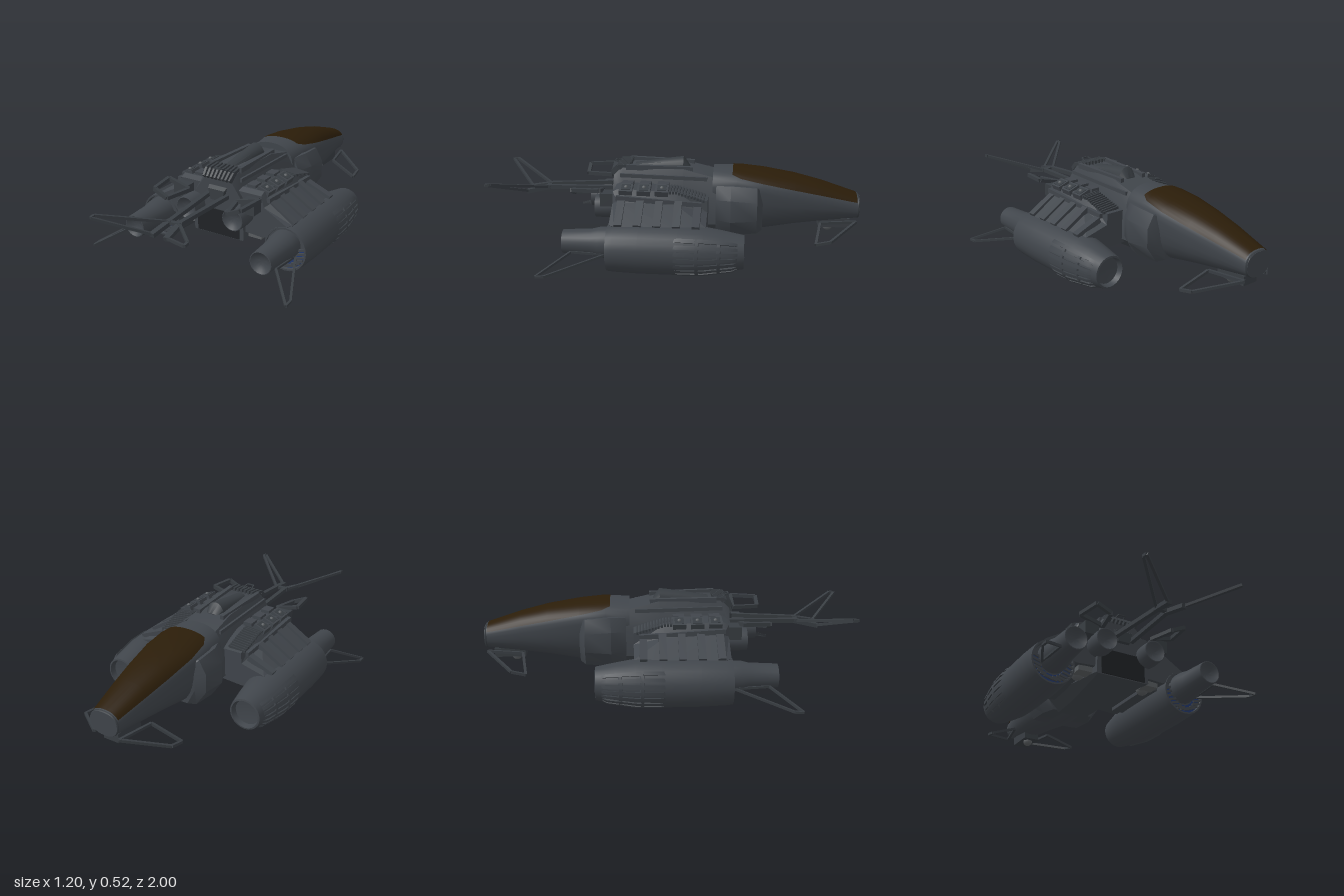
import * as THREE from 'three';
import { toCreasedNormals } from 'three/addons/utils/BufferGeometryUtils.js';

const mat = (name, color, side = THREE.FrontSide) => {
  const m = new THREE.MeshStandardMaterial({ color, side });
  m.name = name;
  return m;
};

export function createModel() {
  const hull = mat('hull grey', 0x40454b);
  const trim = mat('trim grey', 0x383d42);
  const dark = mat('dark recess', 0x202326);
  const glass = mat('amber canopy', 0x2b1d09, THREE.DoubleSide);
  const blue = mat('blue glow', 0x22386e, THREE.DoubleSide);
  const lamp = mat('light grey', 0x5a5e61);
  const V = (x, y, z) => new THREE.Vector3(x, y, z);
  const ship = new THREE.Group();
  ship.name = 'spacecraft';

  const add = (parent, name, geo, m, x = 0, y = 0, z = 0) => {
    const mesh = new THREE.Mesh(geo, m);
    mesh.name = name;
    mesh.position.set(x, y, z);
    parent.add(mesh);
    return mesh;
  };
  const box = (parent, name, m, w, h, d, x, y, z) => add(parent, name, new THREE.BoxGeometry(w, h, d), m, x, y, z);

  // Skin over cross-sections [z, [[x, y], ...]], counter-clockwise, z increasing
  function loft(sections, closed = true, crease = 0.6) {
    const out = [];
    const P = (i, j) => [...sections[i][1][j], sections[i][0]];
    const n = sections[0][1].length;
    for (let i = 0; i < sections.length - 1; i++) {
      for (let j = 0; j < (closed ? n : n - 1); j++) {
        const k = (j + 1) % n;
        const a = P(i, j), b = P(i, k), c = P(i + 1, k), d = P(i + 1, j);
        out.push(...a, ...b, ...c, ...a, ...c, ...d);
      }
    }
    if (closed) for (let j = 1; j < n - 1; j++) {
      const e = sections.length - 1;
      out.push(...P(0, 0), ...P(0, j + 1), ...P(0, j), ...P(e, 0), ...P(e, j), ...P(e, j + 1));
    }
    const g = new THREE.BufferGeometry();
    g.setAttribute('position', new THREE.Float32BufferAttribute(out, 3));
    return toCreasedNormals(g, crease);
  }
  // Turned part along z, optionally only an arc
  const turned = (pts, segs = 20, start = 0, len = Math.PI * 2, crease = 0.5) => toCreasedNormals(
    new THREE.LatheGeometry(pts.map(p => new THREE.Vector2(...p)), segs, start, len).rotateX(Math.PI / 2), crease);

  const bar = (parent, name, a, b, w, h, m) => {
    const mesh = add(parent, name, new THREE.BoxGeometry(w, h, a.distanceTo(b)), m);
    mesh.position.copy(a).add(b).multiplyScalar(0.5);
    mesh.lookAt(b);
    return mesh;
  };
  const frame = (parent, name, pts, t) => pts.forEach((p, i) => bar(parent, name, p, pts[(i + 1) % pts.length], t, t, trim));

  // Nose hull: z, half width, bottom, widest height, top
  const nose = [
    [-1, 0.08, 0.21, 0.275, 0.335], [-0.97, 0.083, 0.205, 0.28, 0.345], [-0.8, 0.108, 0.185, 0.31, 0.4],
    [-0.65, 0.13, 0.165, 0.335, 0.437], [-0.48, 0.152, 0.135, 0.37, 0.463],
    [-0.34, 0.155, 0.12, 0.385, 0.475], [-0.21, 0.14, 0.12, 0.36, 0.475]];
  const arc = ([z, w, yb, yc, yt], from, to, n, grow = 0) => [z, Array.from({ length: n }, (_, i) => {
    const a = from + (to - from) * i / (n - 1), s = Math.sin(a), c = Math.cos(a);
    return [(w + grow) * Math.sign(c) * Math.abs(c) ** 0.85, yc + (s > 0 ? yt - yc + grow : yc - yb) * Math.sign(s) * Math.abs(s) ** 0.85];
  })];
  add(ship, 'noseHull', loft(nose.map(s => arc(s, 0, Math.PI * 2 * 27 / 28, 28))), hull);
  const canopy = [[-0.985, 0.0815, 0.207, 0.277, 0.34], ...nose.slice(1, 5),
    [-0.36, 0.155, 0.12, 0.383, 0.474], [-0.315, 0.152, 0.12, 0.382, 0.475]];
  const edge = [0.45, 0.43, 0.38, 0.4, 0.46, 0.62, 0.85];
  add(ship, 'canopy', loft(canopy.map((s, i) => arc(s, edge[i], Math.PI - edge[i], 16, 0.003)), false, 1), glass);
  // Nose rim and chin turret
  const rim = arc(nose[0], 0, Math.PI * 2, 28)[1].map(([x, y]) => V(x * 0.95, 0.275 + (y - 0.275) * 0.94, -0.992));
  add(ship, 'noseRim', new THREE.TubeGeometry(new THREE.CatmullRomCurve3(rim.slice(0, -1), true), 28, 0.008, 5, true), trim);
  box(ship, 'chinBlock', trim, 0.09, 0.05, 0.17, 0, 0.18, -0.87);
  add(ship, 'chinTurret', new THREE.SphereGeometry(0.028, 14, 10), lamp, 0, 0.152, -0.84);

  // Shoulder collar behind the canopy
  const oct = (w, b, t) => [[w * 0.7, b], [w, b + 0.09], [w, t - 0.07], [w * 0.8, t], [-w * 0.8, t], [-w, t - 0.07], [-w, b + 0.09], [-w * 0.7, b]];
  add(ship, 'collar', loft([[-0.48, oct(0.155, 0.15, 0.37)], [-0.45, oct(0.205, 0.14, 0.4)],
    [-0.31, oct(0.21, 0.13, 0.41)], [-0.23, oct(0.17, 0.13, 0.4)]]), hull);

  // Central body with a chamfered belly that flattens toward the back
  const body = (w, top, keel) => [[keel, 0.12], [0.155, 0.12 + (0.155 - keel)], [0.15, 0.34], [w, top],
    [-w, top], [-0.15, 0.34], [-0.155, 0.12 + (0.155 - keel)], [-keel, 0.12]];
  add(ship, 'body', loft([[-0.24, body(0.1, 0.43, 0.085)], [-0.05, body(0.095, 0.475, 0.095)],
    [0.28, body(0.09, 0.475, 0.14)], [0.33, body(0.08, 0.44, 0.15)]], true, 0.7), hull);
  box(ship, 'rearRecess', dark, 0.26, 0.14, 0.008, 0, 0.195, 0.332);
  // Dorsal equipment
  const dome = (w, y, h) => Array.from({ length: 9 }, (_, i) => [w * Math.cos(i * Math.PI / 8), y + h * Math.sin(i * Math.PI / 8)]);
  add(ship, 'dorsalFairing', loft([[-0.08, dome(0.035, 0.46, 0.012)], [-0.045, dome(0.052, 0.465, 0.06)],
    [0.06, dome(0.045, 0.465, 0.045)], [0.22, dome(0.035, 0.465, 0.018)]]), trim);
  for (const s of [-1, 1]) {
    bar(ship, 'spineRail', V(s * 0.075, 0.472, -0.1), V(s * 0.088, 0.48, 0.26), 0.022, 0.028, hull);
    bar(ship, 'spineTrim', V(s * 0.115, 0.43, -0.18), V(s * 0.115, 0.44, 0.29), 0.012, 0.02, hull);
  }
  for (let i = 0; i < 8; i++) {
    const x = (i - 3.5) * 0.024;
    bar(ship, 'rearVentRib', V(x * 0.95, 0.482, 0.24), V(x, 0.475, 0.31), 0.012, 0.025, trim);
    bar(ship, 'rearVentRib', V(x, 0.475, 0.305), V(x * 0.95, 0.44, 0.34), 0.012, 0.025, trim);
  }
  frame(ship, 'dorsalLoop', [V(-0.03, 0.475, 0.27), V(-0.02, 0.495, 0.33), V(0.02, 0.495, 0.33), V(0.03, 0.475, 0.27)], 0.006);
  // Tail mount
  add(ship, 'tailMount', loft([[0.3, [[0.04, 0.32], [0.065, 0.42], [-0.065, 0.42], [-0.04, 0.32]]],
    [0.35, [[0.035, 0.325], [0.05, 0.385], [-0.05, 0.385], [-0.035, 0.325]]]]), trim);
  box(ship, 'tailCrossbar', trim, 0.08, 0.016, 0.024, 0, 0.338, 0.71);

  // Everything below is built for the left side and mirrored
  const side = new THREE.Group();
  side.name = 'leftSide';

  // Wing with sloped shoulder
  const wing = (o, t) => [[0.11, 0.17], [0.26, 0.16], [0.36, 0.19], [0.42 + o, 0.255], [0.285 + o, t - 0.06], [0.25, t], [0.11, t]];
  add(side, 'wing', loft([[-0.19, wing(-0.03, 0.35)], [-0.03, wing(0, 0.395)], [0.28, wing(0, 0.405)], [0.31, wing(-0.02, 0.39)]], true, 0.3), hull);
  [-0.14, -0.04, 0.06, 0.16, 0.26].forEach(z => bar(side, 'wingRib', V(0.275, z < -0.1 ? 0.315 : 0.345, z), V(0.42, 0.255, z), 0.04, 0.03, hull));
  bar(side, 'wingRail', V(0.27, 0.335, -0.16), V(0.28, 0.365, 0.29), 0.02, 0.025, hull);
  for (let i = 0; i < 12; i++) {
    const z = -0.17 + i * 0.016;
    box(side, 'wingVent', trim, 0.1, 0.014, 0.009, 0.215, 0.358 + Math.min(i, 9) * 0.0045, z).rotation.z = -0.1;
  }
  // Launcher blocks
  for (const z of [0.05, 0.145, 0.24]) {
    const b = new THREE.Group();
    b.name = 'launcherBlock';
    b.position.set(0.235, 0.392, z);
    b.rotation.z = -0.35;
    box(b, 'block', hull, 0.07, 0.045, 0.07, 0, 0, 0);
    box(b, 'blockWell', trim, 0.048, 0.006, 0.048, 0, 0.022, 0);
    add(b, 'blockStud', new THREE.SphereGeometry(0.011, 8, 6), lamp, 0, 0.023, 0);
    side.add(b);
    box(side, 'innerBlock', hull, 0.05, 0.03, 0.06, 0.165, 0.405, z);
  }

  // Inner thruster and belly lamp
  const thruster = turned([[0.055, 0.26], [0.064, 0.36], [0.061, 0.42], [0.057, 0.421], [0.04, 0.408], [0.02, 0.4], [0, 0.398]], 20, 0, Math.PI * 2, 0.7);
  add(side, 'innerThruster', thruster, hull, 0.145, 0.275, 0);
  box(side, 'thrusterBracket', trim, 0.08, 0.07, 0.1, 0.21, 0.34, 0.33);
  add(side, 'bellyLamp', new THREE.SphereGeometry(0.036, 14, 10), lamp, 0.2, 0.155, 0.2);
  box(side, 'bellyPod', lamp, 0.08, 0.03, 0.07, 0.2, 0.15, 0.255);
  box(side, 'engineStrut', hull, 0.14, 0.06, 0.36, 0.27, 0.175, 0.06);

  // Outer engine
  const engine = new THREE.Group();
  engine.name = 'engine';
  engine.position.set(0.395, 0.131, 0);
  side.add(engine);
  add(engine, 'engineShell', turned([[0, -0.35], [0.07, -0.36], [0.078, -0.39], [0.087, -0.388], [0.108, -0.28], [0.125, -0.18],
    [0.13, -0.05], [0.13, 0.15], [0.125, 0.28], [0.121, 0.315], [0.112, 0.315], [0.108, 0.295], [0, 0.295]], 24), hull);
  add(engine, 'nozzle', turned([[0.083, 0.28], [0.08, 0.36], [0.07, 0.4], [0.062, 0.55], [0.058, 0.551], [0.04, 0.537], [0.02, 0.529], [0, 0.527]],
    20, 0, Math.PI * 2, 0.7), hull, -0.003, 0.026, 0);
  // Slats along the outer flank
  const slat = [[0.094, -0.355], [0.108, -0.33], [0.119, -0.26], [0.132, -0.18], [0.135, -0.06], [0.126, -0.02]];
  const slatShape = new THREE.Shape([...slat, [0.118, -0.1], [0.1, -0.28]].map(p => new THREE.Vector2(...p)));
  for (let i = 0; i < 7; i++) {
    const a = 0.6 + i * 0.27;
    add(engine, 'slat', turned(slat, 2, a, 0.16), hull);
    for (const e of [a, a + 0.16]) {
      const g = new THREE.ShapeGeometry(slatShape).rotateX(Math.PI / 2);
      if (e !== a) g.index.array.reverse();
      g.computeVertexNormals();
      add(engine, 'slatWall', g.rotateZ(e - Math.PI / 2), trim);
    }
  }
  for (const [z, r] of [[-0.26, 0.1175], [-0.15, 0.1325]])
    add(engine, 'slatBand', turned([[r - 0.01, z - 0.012], [r, z - 0.008], [r + 0.001, z + 0.008], [r - 0.009, z + 0.012]], 14, 0.6, 1.78), hull);
  // Glowing vents recessed in the lower rear face
  add(engine, 'glowRing', turned([[0.11, 0.299], [0.066, 0.299]], 18, -1.75, 3.5), blue);
  for (let i = 0; i < 15; i++) {
    const a = -1.75 + i * 0.25, s = Math.sin(a), c = -Math.cos(a);
    bar(engine, 'glowRib', V(s * 0.116, c * 0.116, 0.307), V(s * 0.066, c * 0.066, 0.312), 0.01, 0.012, hull);
  }

  // Open-frame fins
  frame(side, 'noseFin', [V(0.075, 0.2, -0.985), V(0.265, 0.15, -0.835), V(0.27, 0.135, -0.76), V(0.115, 0.2, -0.79)], 0.014);
  frame(side, 'engineFin', [V(0.46, 0.115, 0.32), V(0.595, 0.04, 0.61), V(0.595, 0.037, 0.655), V(0.45, 0.12, 0.5)], 0.012);
  frame(side, 'rearFrame', [V(0.15, 0.365, 0.38), V(0.28, 0.4, 0.38), V(0.262, 0.395, 0.525), V(0.185, 0.36, 0.525)], 0.02);
  bar(side, 'tailBoom', V(0.055, 0.35, 0.33), V(0.028, 0.338, 0.72), 0.024, 0.022, trim);
  bar(side, 'tailBoomEnd', V(0.03, 0.338, 0.7), V(0.044, 0.312, 0.83), 0.03, 0.022, trim);
  frame(side, 'tailFin', [V(0.035, 0.338, 0.71), V(0.272, 0.413, 0.965), V(0.272, 0.41, 0.992), V(0.045, 0.314, 0.82)], 0.014);

  ship.add(side);
  const right = side.clone();
  right.name = 'rightSide';
  right.scale.x = -1;
  ship.add(right);
  return ship;
}
